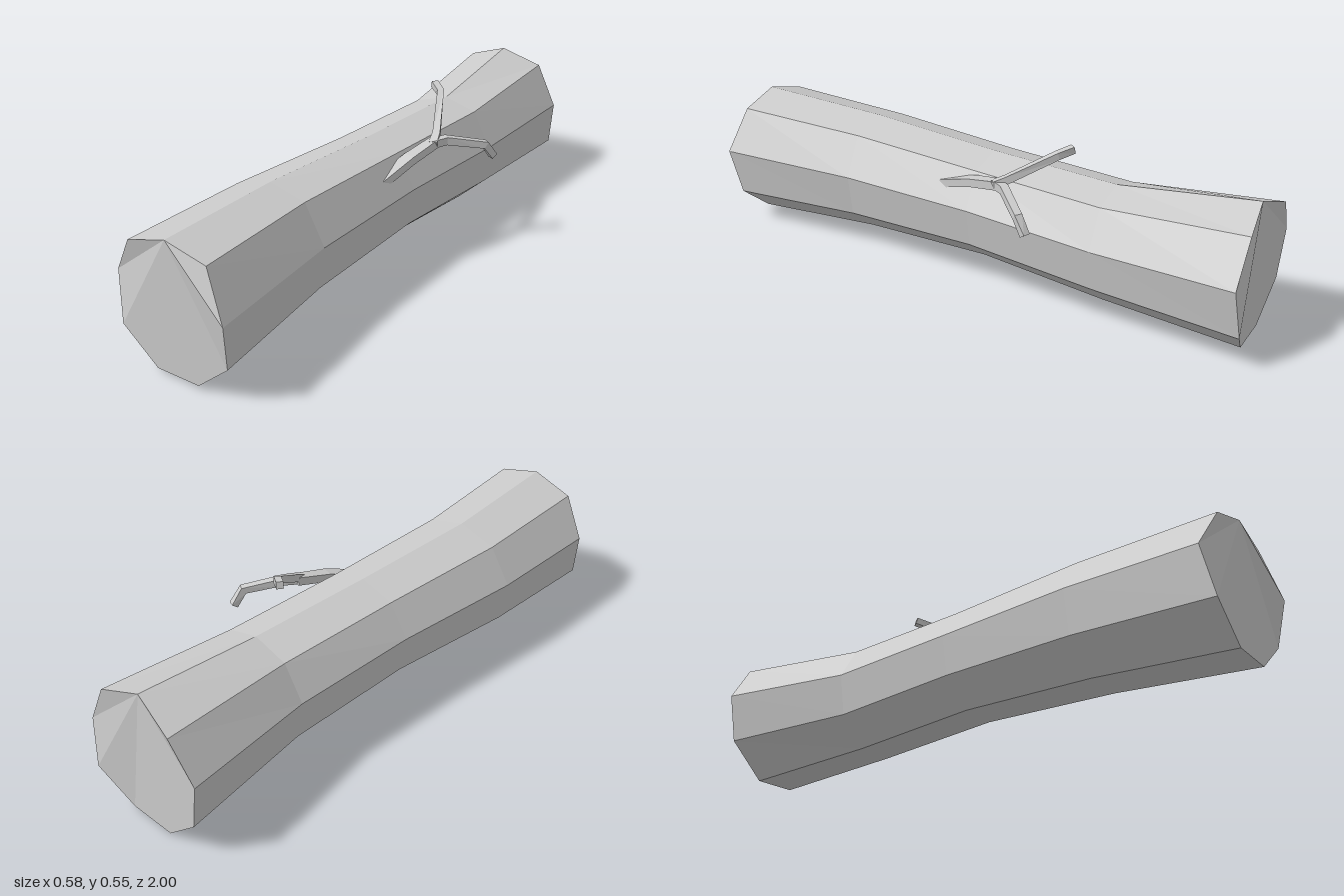
import * as THREE from 'three';

const material = new THREE.MeshStandardMaterial({ color: 0xcccccc, flatShading: true });

// Skin a list of rings (counterclockwise about the direction of travel) and close both ends.
function loft(name, rings) {
  const n = rings[0].length;
  const index = [];
  for (let i = 0; i < rings.length - 1; i++) {
    for (let j = 0; j < n; j++) {
      const a = i * n + j, b = i * n + (j + 1) % n;
      index.push(a, b, b + n, a, b + n, a + n);
    }
  }
  const last = (rings.length - 1) * n;
  for (let j = 1; j < n - 1; j++) {
    index.push(0, j + 1, j, last, last + j, last + j + 1);
  }
  const geometry = new THREE.BufferGeometry().setFromPoints(rings.flat());
  geometry.setIndex(index);
  const flat = geometry.toNonIndexed();
  flat.computeVertexNormals();
  const mesh = new THREE.Mesh(flat, material);
  mesh.name = name;
  return mesh;
}

// Four-sided twig along a path of [x, y, z, halfWidth, halfHeight].
function twig(name, path) {
  const points = path.map(p => new THREE.Vector3(p[0], p[1], p[2]));
  const up = new THREE.Vector3(0, 1, 0);
  const rings = points.map((p, i) => {
    const dirs = [];
    if (i > 0) dirs.push(p.clone().sub(points[i - 1]).normalize());
    if (i < points.length - 1) dirs.push(points[i + 1].clone().sub(p).normalize());
    const t = dirs.reduce((s, d) => s.add(d), new THREE.Vector3()).normalize();
    const u = up.clone().cross(t).normalize();
    const v = t.clone().cross(u);
    const [w, h] = path[i].slice(3);
    return [[1, 1], [-1, 1], [-1, -1], [1, -1]].map(([a, b]) =>
      p.clone().addScaledVector(u, a * w).addScaledVector(v, b * h));
  });
  return loft(name, rings);
}

export function createModel() {
  const group = new THREE.Group();
  group.name = 'log';

  // Nine-sided trunk outline, with the uneven cut of each end
  const outline = [
    [-0.045, 0.477], [0.105, 0.440], [0.185, 0.288], [0.163, 0.122], [0.039, 0.015],
    [-0.125, 0.013], [-0.258, 0.122], [-0.288, 0.289], [-0.200, 0.428],
  ];
  const frontZ = [0.97, 0.965, 1.0, 0.97, 0.965, 0.965, 0.965, 0.935, 0.965];
  const backZ = [-0.963, -0.985, -0.98, -1.0, -0.97, -0.965, -0.975, -0.98, -0.99];
  const backLift = [0.011, 0, 0, 0, -0.003, -0.011, 0, 0.003, 0];

  // Cross-sections: z, centre x and y, scale x and y
  const sections = [
    [0.97, -0.051, 0.245, 1, 1],
    [0.48, -0.073, 0.248, 0.9, 0.9],
    [-0.02, -0.048, 0.252, 0.815, 0.81],
    [-0.49, -0.028, 0.237, 0.815, 0.855],
    [-0.98, -0.051, 0.245, 1, 1],
  ];
  const rings = sections.map(([z, cx, cy, sx, sy], i) => outline.map(([x, y], j) =>
    new THREE.Vector3(
      cx + (x + 0.051) * sx,
      cy + (y - 0.245) * sy + (i === 4 ? backLift[j] : 0),
      i === 0 ? frontZ[j] : i === 4 ? backZ[j] : z)));
  group.add(loft('trunk', rings));

  // Forked twig growing out of the upper left side
  const branch = new THREE.Group();
  branch.name = 'branch';
  branch.add(
    twig('branchStem', [
      [0.085, 0.345, 0.10, 0.024, 0.014],
      [0.118, 0.392, -0.03, 0.022, 0.014],
      [0.143, 0.418, -0.15, 0.018, 0.015],
    ]),
    twig('upperFork', [
      [0.147, 0.415, -0.13, 0.015, 0.014],
      [0.135, 0.438, -0.17, 0.013, 0.013],
      [0.058, 0.529, -0.315, 0.012, 0.012],
      [0.013, 0.541, -0.347, 0.012, 0.012],
    ]),
    twig('lowerFork', [
      [0.138, 0.416, -0.13, 0.015, 0.014],
      [0.168, 0.420, -0.18, 0.014, 0.014],
      [0.264, 0.390, -0.285, 0.013, 0.013],
      [0.277, 0.338, -0.320, 0.012, 0.012],
    ]),
  );
  group.add(branch);
  return group;
}
